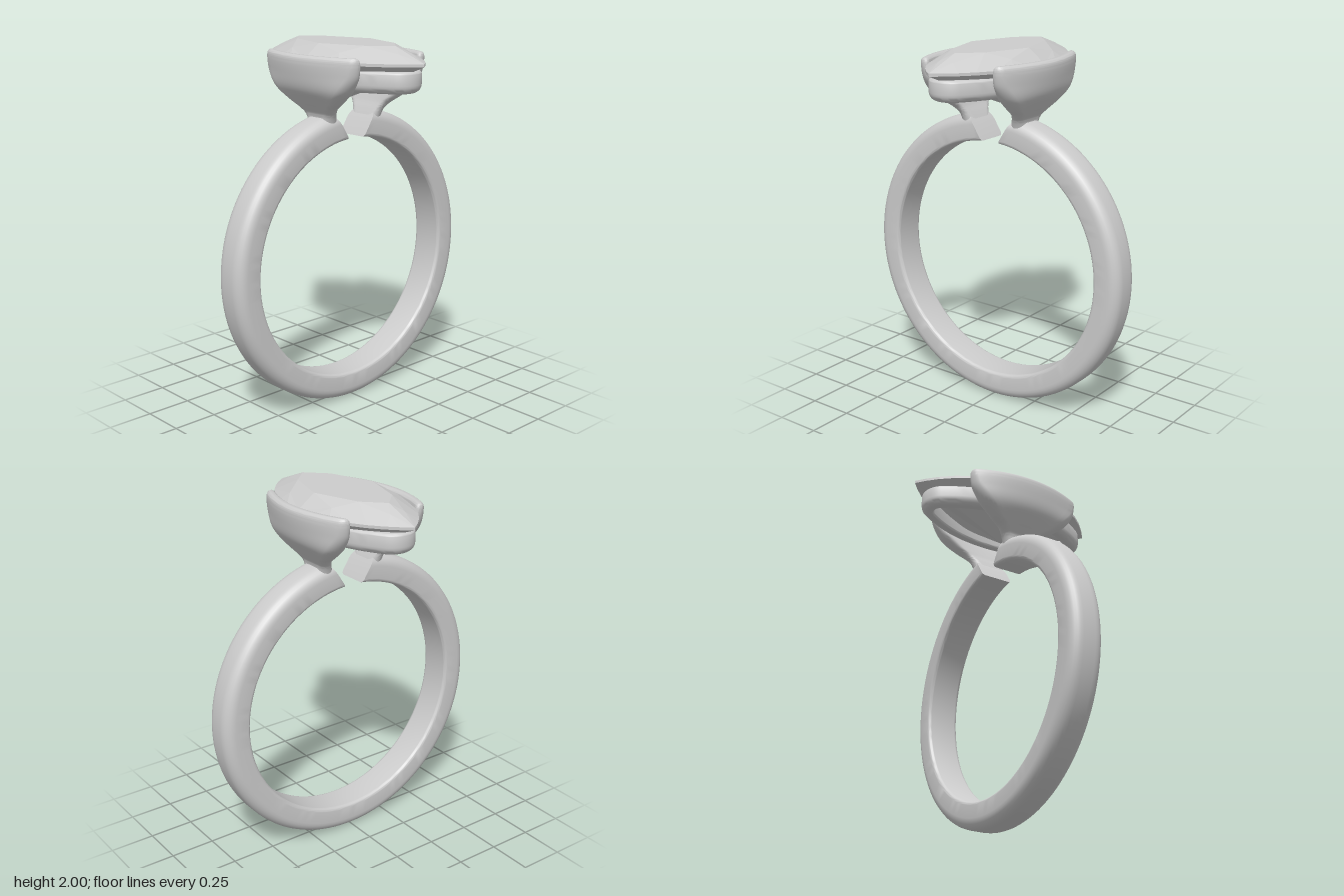
import * as THREE from 'three';
import { toCreasedNormals } from 'three/addons/utils/BufferGeometryUtils.js';

const V = (x, y, z) => new THREE.Vector3(x, y, z);

// Flat list of Vector3 triples -> geometry
function fromTriangles(tris) {
  const g = new THREE.BufferGeometry().setFromPoints(tris.flat());
  g.computeVertexNormals();
  return g;
}

// Skin through rings of equal length. Open lofts get end caps zipped between
// points j and n-1-j, so each ring must be listed symmetrically.
function loft(rings, closed = false) {
  const n = rings[0].length, tris = [];
  const quad = (a, b, c, d) => tris.push([a, b, c], [a, c, d]);
  const last = closed ? rings.length : rings.length - 1;
  for (let i = 0; i < last; i++) {
    const p = rings[i], q = rings[(i + 1) % rings.length];
    for (let j = 0; j < n; j++) quad(p[j], p[(j + 1) % n], q[(j + 1) % n], q[j]);
  }
  if (!closed) {
    const a = rings[0], b = rings[rings.length - 1];
    for (let j = 0; j < n / 2 - 1; j++) {
      quad(a[n - 1 - j], a[n - 2 - j], a[j + 1], a[j]);
      quad(b[j], b[j + 1], b[n - 2 - j], b[n - 1 - j]);
    }
  }
  // Turn the skin outward if its signed volume is negative
  const volume = tris.reduce((s, [a, b, c]) => s + a.dot(b.clone().cross(c)), 0);
  if (volume < 0) tris.forEach(t => t.reverse());
  // Drop collapsed triangles
  const solid = tris.filter(([a, b, c]) =>
    b.clone().sub(a).cross(c.clone().sub(a)).length() > 1e-10);
  return toCreasedNormals(fromTriangles(solid), 0.75);
}

// Quarter-circle points around (cx, cy)
function corner(cx, cy, r, from, to, steps = 6) {
  return Array.from({ length: steps + 1 }, (_, i) => {
    const a = from + (to - from) * i / steps;
    return [cx + r * Math.cos(a), cy + r * Math.sin(a)];
  });
}

// Band: rounded section swept round the finger, with slanted ends at the gap
function bandGeometry() {
  const inner = 0.67, outer = 0.82, half = 0.095, H = Math.PI / 2;
  const side = [[0, inner],
    ...corner(half - 0.02, inner + 0.02, 0.02, -H, 0),
    ...corner(half - 0.06, outer - 0.06, 0.06, 0, H), [0, outer]];
  const section = [...side, ...side.slice().reverse().map(([z, r]) => [-z, r])];
  const rings = [], steps = 128;
  for (let i = 0; i <= steps; i++) {
    rings.push(section.map(([z, r]) => {
      const gap = 0.082 + 0.1 * (r - inner) / (outer - inner);
      const a = gap + (2 * Math.PI - 2 * gap) * i / steps;
      return V(r * Math.sin(a), 0.82 + r * Math.cos(a), z);
    }));
  }
  return loft(rings);
}

// Prong: a stem that rises from the band and flares into a curved wall
function prongGeometry(side) {
  // height, inner x, outer x, half width in z, bend toward the stone
  const levels = [
    [1.53, 0.095, 0.2, 0.08, 0], [1.58, 0.117, 0.205, 0.088, 0],
    [1.63, 0.142, 0.21, 0.106, 0.05], [1.665, 0.162, 0.235, 0.137, 0.15],
    [1.70, 0.178, 0.264, 0.19, 0.3], [1.77, 0.212, 0.315, 0.28, 0.5],
    [1.85, 0.26, 0.336, 0.333, 0.65], [1.92, 0.283, 0.343, 0.345, 0.7],
    [1.94, 0.289, 0.338, 0.341, 0.7], [1.95, 0.303, 0.325, 0.332, 0.7]];
  const faces = new THREE.CatmullRomCurve3(levels.map(l => V(l[1], l[0], l[2])));
  const widths = new THREE.CatmullRomCurve3(levels.map(l => V(l[3], l[0], l[4])));
  const rings = [], steps = 54, across = 16;
  for (let i = 0; i <= steps; i++) {
    const f = faces.getPoint(i / steps), w = widths.getPoint(i / steps);
    const r = (f.z - f.x) / 2, mid = (f.z + f.x) / 2, flat = w.x - r;
    const half = [...corner(-flat, 0, r, Math.PI, Math.PI / 2)];
    for (let j = 1; j < across; j++) half.push([flat * (2 * j / across - 1), r]);
    half.push(...corner(flat, 0, r, Math.PI / 2, 0));
    const outline = [...half, ...half.slice().reverse().map(([z, d]) => [z, -d])];
    rings.push(outline.map(([z, d]) => V(side * (mid + d - w.z * z * z), f.y, z)));
  }
  return loft(rings);
}

// Rail: pointed-oval ring under the stone, with blunt rounded tips
function railGeometry() {
  const L = 0.395, W = 0.12, R = (W * W + L * L) / (2 * W), A = Math.asin(L / R);
  const path = []; // centre x, centre z, base radius, direction
  for (const s of [0, Math.PI]) {
    for (let i = 0; i <= 24; i++)
      path.push([-Math.cos(s) * (R - W), 0, R, s - A + 2 * A * i / 24]);
    for (let i = 1; i < 16; i++)
      path.push([0, L * Math.cos(s), 0, s + A + (Math.PI - 2 * A) * i / 16]);
  }
  const H = Math.PI / 2;
  const section = [
    ...corner(0.065, 1.782, 0.015, Math.PI, 3 * H),
    ...corner(0.075, 1.812, 0.045, -H, 0),
    ...corner(0.1, 1.862, 0.02, 0, H),
    ...corner(0.065, 1.867, 0.015, H, Math.PI)];
  return loft(path.map(([cx, cz, base, a]) => section.map(([d, y]) =>
    V(cx + (base + d) * Math.cos(a), y, cz + (base + d) * Math.sin(a)))), true);
}

// Stone: faceted pointed oval with table, crown, thin girdle and pavilion
function stoneGeometry() {
  const L = 0.575, W = 0.29, R = (W * W + L * L) / (2 * W), N = 32;
  const point = (i, scale, y) => {
    const a = 2 * Math.PI * i / N, z = L * Math.sin(a);
    const x = Math.sign(Math.cos(a)) * (Math.sqrt(R * R - z * z) - (R - W));
    return V(x * scale, y, z * scale);
  };
  const middle = V(0, 1.9, 0), tris = [];
  const add = (a, b, c) => {
    const normal = b.clone().sub(a).cross(c.clone().sub(a));
    const out = a.clone().add(b).add(c).divideScalar(3).sub(middle);
    tris.push(normal.dot(out) < 0 ? [a, c, b] : [a, b, c]);
  };
  const top = V(0, 2, 0), culet = V(0, 1.69, 0);
  const table = i => point(i, 0.65, 2), star = i => point(i, 0.83, 1.966);
  const upper = i => point(i, 1, 1.925), lower = i => point(i, 1, 1.91);
  const belly = i => point(i, 0.45, 1.783);
  for (let i = 0; i < N; i += 4) {
    add(top, table(i), table(i + 4));
    add(table(i), star(i + 2), table(i + 4));
    for (const s of [-2, 2]) {
      add(table(i), star(i + s), upper(i));
      add(culet, belly(i + s), lower(i));
    }
    for (let j = i; j < i + 4; j++) {
      add(star(i + 2), upper(j), upper(j + 1));
      add(upper(j), upper(j + 1), lower(j));
      add(upper(j + 1), lower(j + 1), lower(j));
      add(belly(i + 2), lower(j), lower(j + 1));
    }
  }
  return fromTriangles(tris);
}

export function createModel() {
  const model = new THREE.Group();
  model.name = 'ring';
  const grey = new THREE.MeshStandardMaterial({ color: 0xcccccc });
  grey.name = 'light grey';
  const part = (name, geometry) => {
    const mesh = new THREE.Mesh(geometry, grey);
    mesh.name = name;
    model.add(mesh);
  };
  part('band', bandGeometry());
  part('leftProng', prongGeometry(1));
  part('rightProng', prongGeometry(-1));
  part('rail', railGeometry());
  part('stone', stoneGeometry());
  return model;
}
